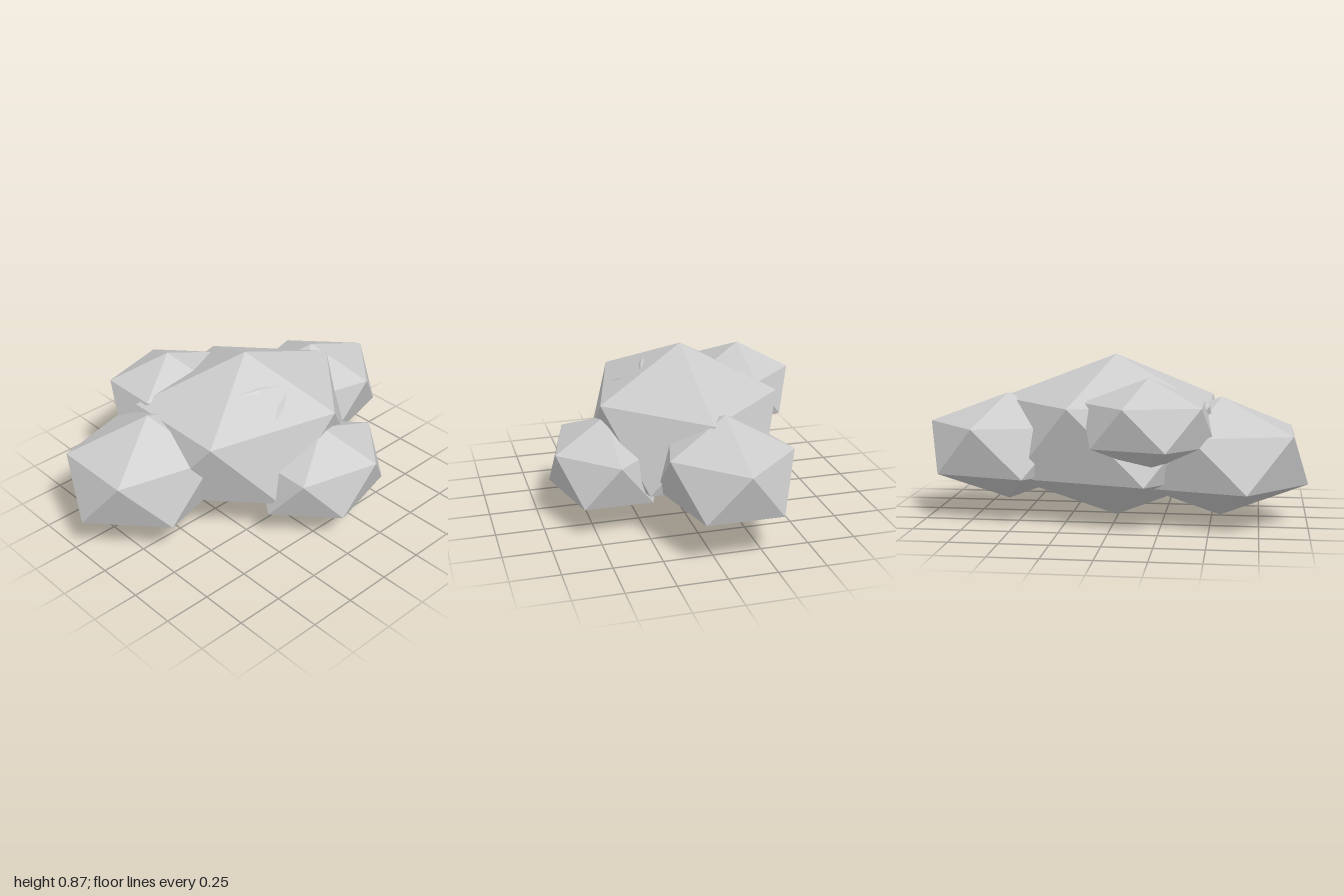
import * as THREE from 'three';
import { ConvexGeometry } from 'three/addons/geometries/ConvexGeometry.js';

const material = new THREE.MeshStandardMaterial({ color: 0xcccccc, flatShading: true });

function addHull(group, name, points, position) {
  const mesh = new THREE.Mesh(new ConvexGeometry(points), material);
  mesh.name = name;
  mesh.position.set(...position);
  group.add(mesh);
}

// Stretched icosahedron standing on a corner: two poles and two staggered rings of five
function lobePoints([rx, ry, rz]) {
  const h = 1 / Math.sqrt(5), r = 2 * h;
  const points = [new THREE.Vector3(0, ry, 0), new THREE.Vector3(0, -ry, 0)];
  for (let i = 0; i < 5; i++) {
    const a = (i * 2 * Math.PI) / 5;
    const x = r * Math.cos(a) * rx, z = r * Math.sin(a) * rz;
    points.push(new THREE.Vector3(x, h * ry, z), new THREE.Vector3(-x, -h * ry, -z));
  }
  return points;
}

export function createModel() {
  const group = new THREE.Group();
  group.name = 'lowPolyCloud';

  // Big centre lobe with four smaller ones sunk into it: name, centre, radii
  const lobes = [
    ['centreLobe', [0.01, 0.437, -0.04], [0.695, 0.433, 0.555]],
    ['leftLobe', [0.58, 0.38, -0.11], [0.47, 0.285, 0.37]],
    ['rightLobe', [-0.55, 0.355, -0.167], [0.503, 0.31, 0.405]],
    ['frontLobe', [0.145, 0.295, 0.397], [0.42, 0.257, 0.333]],
    ['backLobe', [-0.197, 0.55, -0.425], [0.375, 0.233, 0.3]],
  ];
  for (const [name, centre, radii] of lobes) addHull(group, name, lobePoints(radii), centre);

  // Two faint creases lying on the upper front facet of the centre lobe
  const onFacet = (x, z) => new THREE.Vector3(x, 0.87 + 0.149 * (x - 0.01) - 0.571 * (z + 0.04), z);
  const normal = new THREE.Vector3(-0.149, 1, 0.571).normalize();
  const creases = [
    ['upperCrease', [-0.2, 0.11], [0.07, 0.19]],
    ['lowerCrease', [-0.13, 0.32], [0.07, 0.22]],
  ];
  for (const [name, [x0, z0], [x1, z1]] of creases) {
    const a = onFacet(x0, z0), b = onFacet(x1, z1);
    const mid = a.clone().lerp(b, 0.5);
    const side = b.clone().sub(a).cross(normal).setLength(0.02);
    addHull(group, name, [
      a, b,
      mid.clone().add(side), mid.clone().sub(side),
      mid.clone().addScaledVector(normal, 0.008),
      mid.clone().addScaledVector(normal, -0.02),
    ], [0, 0, 0]);
  }
  return group;
}
